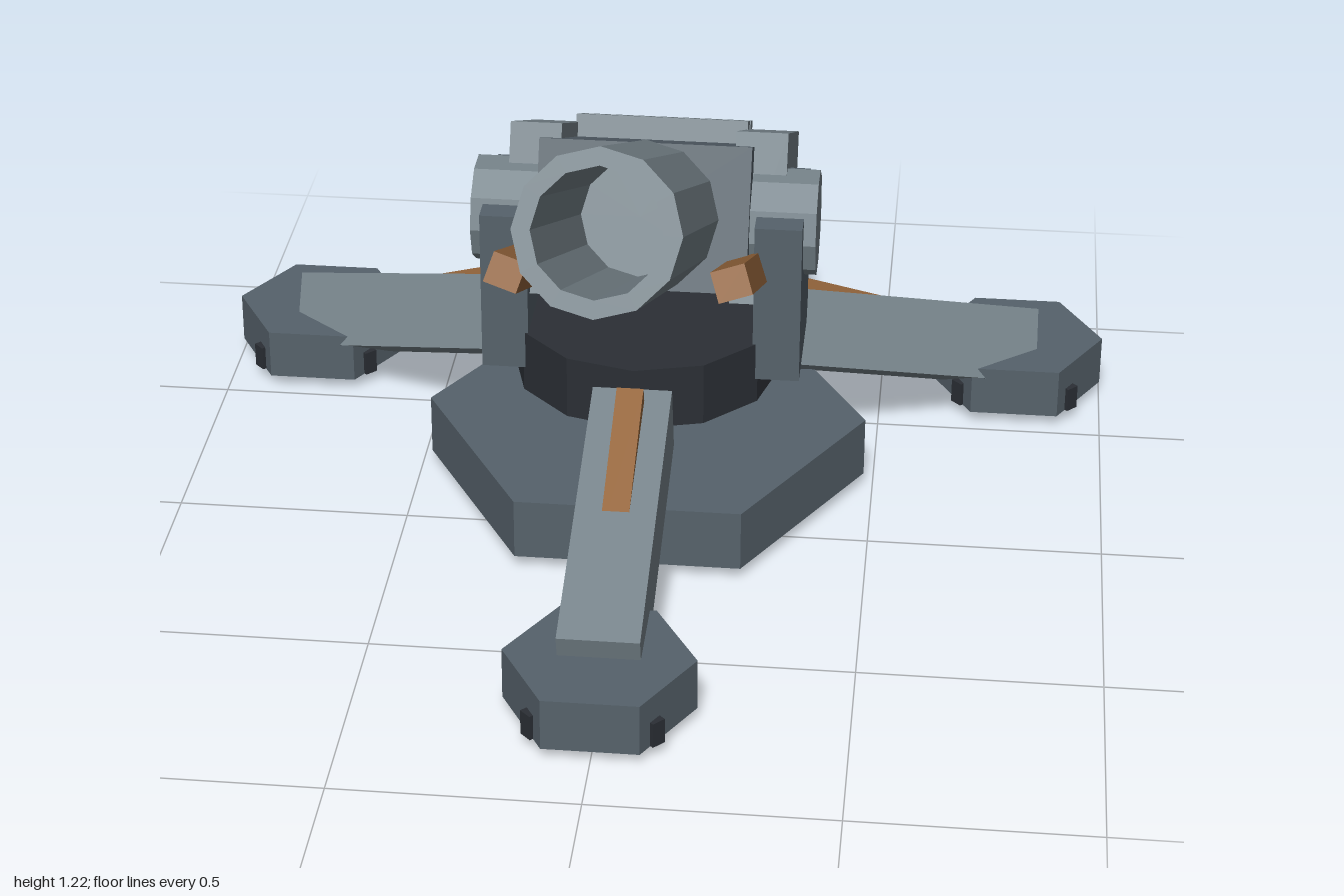
import * as THREE from 'three';

const RAD = Math.PI / 180;
const CZ = -0.235; // z of the turning axis

const paint = (color) => new THREE.MeshStandardMaterial({ color, flatShading: true });

export function createModel() {
  const light = paint(0x78858c);
  const mid = paint(0x56626b);
  const dark = paint(0x2b2f35);
  const wood = paint(0x94653b);

  const add = (parent, name, geometry, material, x = 0, y = 0, z = 0) => {
    const mesh = new THREE.Mesh(geometry, material);
    mesh.name = name;
    mesh.position.set(x, y, z);
    parent.add(mesh);
    return mesh;
  };
  const box = (w, h, d) => new THREE.BoxGeometry(w, h, d);
  const prism = (r, h, sides) => new THREE.CylinderGeometry(r, r, h, sides);

  const model = new THREE.Group();
  model.name = 'fieldMortar';

  // Hexagonal base slab and turntable
  add(model, 'base', prism(0.48, 0.135, 6), mid, 0, 0.0975, CZ).rotation.y = Math.PI / 6;
  add(model, 'turntable', prism(0.29, 0.14, 12), dark, 0, 0.354, CZ);

  // Three legs with feet; the two rear legs are rolled about their length
  for (const side of [0, 1, -1]) {
    const leg = new THREE.Group();
    leg.name = ['rightLeg', 'frontLeg', 'leftLeg'][side + 1];
    leg.position.z = CZ;
    leg.rotation.y = side * 120 * RAD;
    model.add(leg);
    const roll = -side * 28 * RAD;

    add(leg, 'strut', box(0.167, 0.167, 0.68), light, 0, 0.21, 0.605).rotation.set(17 * RAD, 0, roll);
    add(leg, 'strutRib', box(0.056, 0.06, 0.4), wood, 0, 0.307, 0.52).rotation.set(24.5 * RAD, 0, roll);

    const foot = new THREE.Group();
    foot.name = 'foot';
    foot.position.set(0, 0, 0.93);
    foot.rotation.y = -leg.rotation.y;
    leg.add(foot);
    add(foot, 'footPad', prism(0.195, 0.113, 6), mid, 0, 0.085, 0).rotation.y = Math.PI / 6;
    for (const x of [-1, 1]) {
      for (const z of [-1, 1]) {
        add(foot, 'footClaw', box(0.03, 0.055, 0.03), dark, x * 0.121, 0.057, z * 0.123).rotation.y = x * z * 45 * RAD;
      }
    }
  }

  // Yoke plates and trunnions
  for (const side of [-1, 1]) {
    add(model, 'yoke', box(0.1, 0.36, 0.295), mid, side * 0.29, 0.52, CZ + 0.002);
    add(model, 'trunnion', prism(0.113, 0.14, 10), light, side * 0.296, 0.645, CZ).rotation.z = Math.PI / 2;
  }

  // Everything that elevates: local +z runs along the bore
  const gun = new THREE.Group();
  gun.name = 'elevatingGun';
  gun.position.set(0, 0.645, CZ);
  gun.rotation.x = -25 * RAD;
  model.add(gun);

  // Hollow barrel
  const profile = [[0, 0.1], [0.161, 0.1], [0.161, 1.03], [0.125, 1.03], [0.125, 0.16], [0, 0.16]]
    .map(([r, y]) => new THREE.Vector2(r, y));
  add(gun, 'barrel', new THREE.LatheGeometry(profile, 12), light).rotation.x = Math.PI / 2;

  // Breech housing with cheeks, top strip and rear door
  add(gun, 'breechBlock', box(0.45, 0.31, 0.495), mid, 0, 0, -0.1325);
  add(gun, 'breechStrip', box(0.38, 0.06, 0.06), light, 0, 0.175, -0.295);
  add(gun, 'rearDoor', box(0.38, 0.185, 0.06), light, 0, 0.113, -0.39);
  for (const side of [-1, 1]) {
    add(gun, 'cheek', box(0.11, 0.365, 0.445), light, side * 0.241, 0.004, -0.178);
    add(gun, 'handleArm', box(0.07, 0.064, 0.56), wood, side * 0.225, -0.106, 0.308).rotation.z = side * 18 * RAD;
  }

  return model;
}
